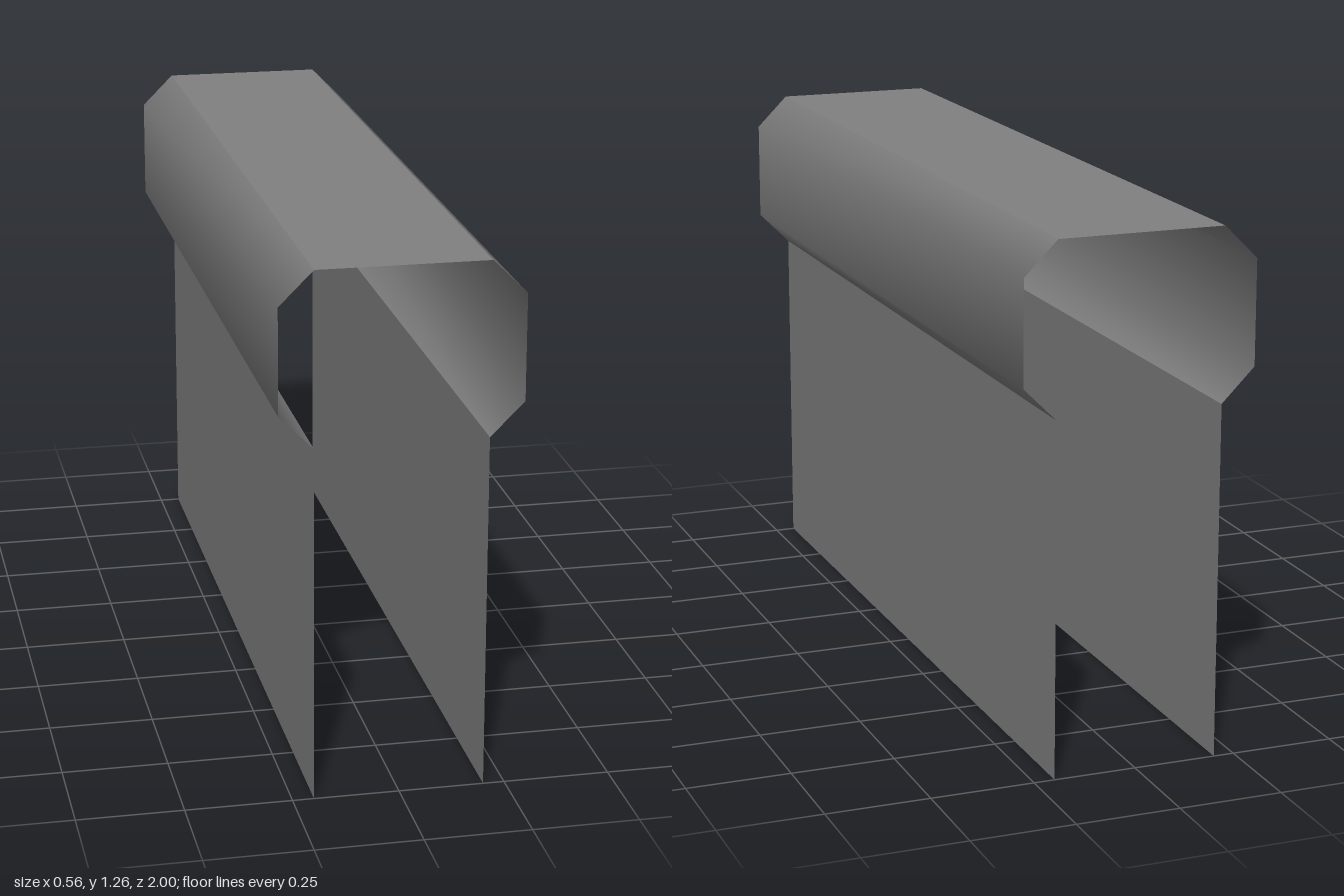
import * as THREE from 'three';

const HALF_LENGTH = 1;

// Sweeps an open x/y profile along z; profile points run counter-clockwise seen from +z.
function sheet(name, profile, material) {
  const positions = [];
  const index = [];
  profile.forEach(([x, y], i) => {
    positions.push(x, y, HALF_LENGTH, x, y, -HALF_LENGTH);
    if (i > 0) {
      const a = 2 * (i - 1);
      index.push(a, a + 1, a + 3, a, a + 3, a + 2);
    }
  });
  const geometry = new THREE.BufferGeometry();
  geometry.setAttribute('position', new THREE.Float32BufferAttribute(positions, 3));
  geometry.setIndex(index);
  geometry.computeVertexNormals(); // smooth within a sheet, creased between sheets
  const mesh = new THREE.Mesh(geometry, material);
  mesh.name = name;
  return mesh;
}

export function createModel() {
  const group = new THREE.Group();
  group.name = 'foldedChannel';

  const grey = new THREE.MeshStandardMaterial({ color: 0x808080, side: THREE.DoubleSide });
  grey.name = 'grey';

  // Half profiles on the +x side, bottom to top
  const wall = [[0.2, 0], [0.2, 0.85]];
  const bulge = [[0.2, 0.85], [0.28, 0.93], [0.28, 1.18], [0.2, 1.26]];
  const mirror = (profile) => profile.map(([x, y]) => [-x, y]).reverse();

  // Side walls and the smooth flared bulges above them
  group.add(
    sheet('leftWall', wall, grey),
    sheet('leftBulge', bulge, grey),
    sheet('rightWall', mirror(wall), grey),
    sheet('rightBulge', mirror(bulge), grey),
  );

  // Flat top strip joining both bulges
  group.add(sheet('topStrip', [[0.2, 1.26], [-0.2, 1.26]], grey));

  return group;
}
